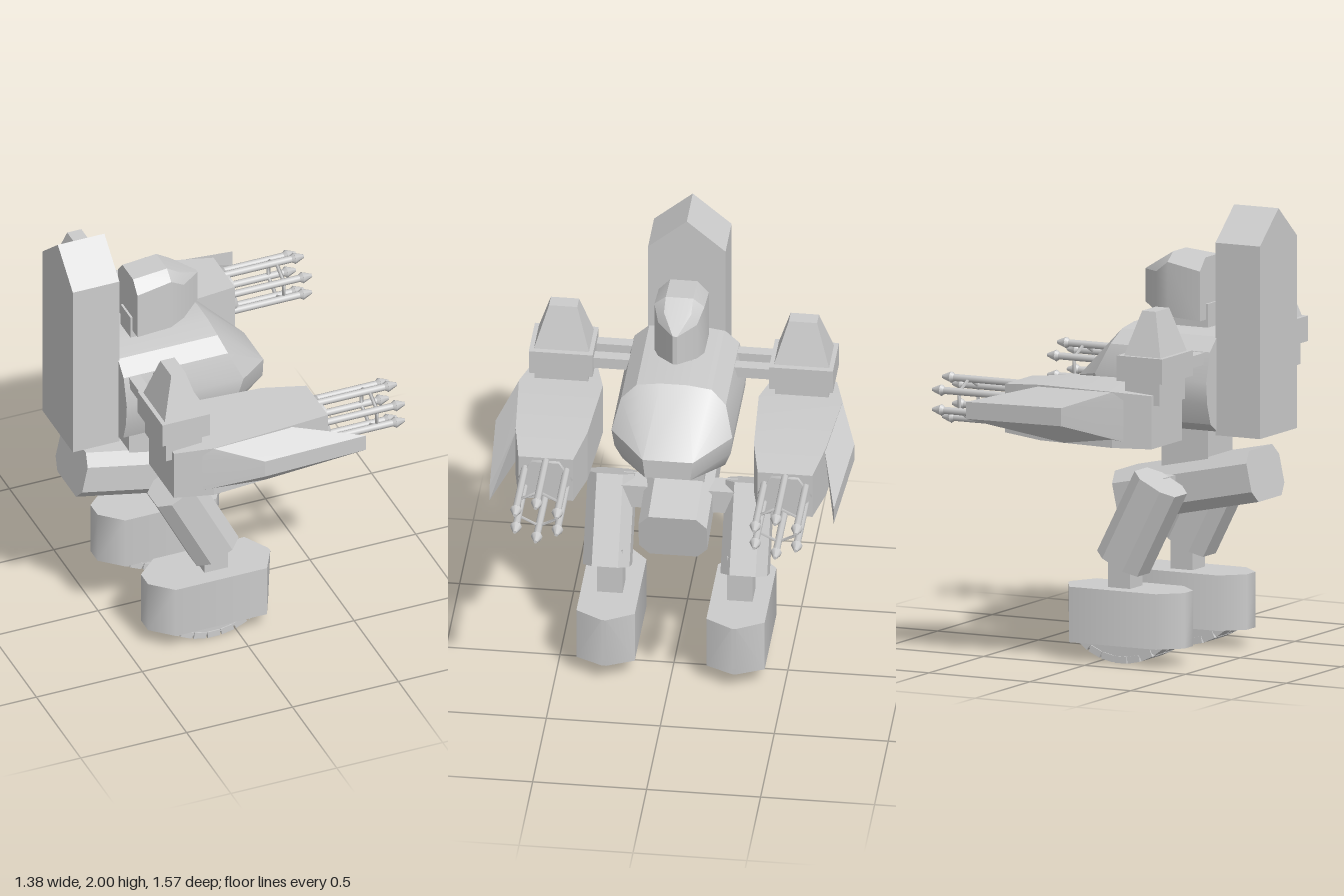
import * as THREE from 'three';
import { ConvexGeometry } from 'three/addons/geometries/ConvexGeometry.js';
import { toCreasedNormals } from 'three/addons/utils/BufferGeometryUtils.js';

const grey = new THREE.MeshStandardMaterial({ color: 0xcccccc });

function add(parent, name, geometry, x = 0, y = 0, z = 0) {
  const mesh = new THREE.Mesh(geometry, grey);
  mesh.name = name;
  mesh.position.set(x, y, z);
  parent.add(mesh);
  return mesh;
}

// box given by its ranges on each axis
function box(parent, name, [x0, x1], [y0, y1], [z0, z1]) {
  return add(parent, name, new THREE.BoxGeometry(x1 - x0, y1 - y0, z1 - z0),
    (x0 + x1) / 2, (y0 + y1) / 2, (z0 + z1) / 2);
}

// convex solid through a few corner points
function hull(points, crease = 0.3) {
  return toCreasedNormals(new ConvexGeometry(points.map(p => new THREE.Vector3(...p))), crease);
}

const bothSides = pts => pts.flatMap(([x, y, z]) => [[x, y, z], [x, y, -z]]);

// octagonal bar along x: length, height, depth, chamfer
function bar(l, h, d, ch, cd) {
  const pts = [];
  for (const x of [-l / 2, l / 2]) for (const a of [-1, 1]) for (const b of [-1, 1])
    pts.push([x, a * h / 2, b * (d / 2 - cd)], [x, a * (h / 2 - ch), b * d / 2]);
  return hull(pts);
}

// cylinder lying along x, narrow end (r1) forward
function rod(r0, r1, length, sides) {
  return new THREE.CylinderGeometry(r1, r0, length, sides).rotateZ(-Math.PI / 2);
}

function buildBody(g) {
  // barrel-shaped torso with a tapering nose
  const section = [[1.455, 0.06], [1.44, 0.165], [1.38, 0.23], [1.25, 0.265],
    [1.15, 0.255], [1.06, 0.225], [1.02, 0.16], [1.005, 0.06]];
  const torso = section.flatMap(([y, z]) => [
    [-0.475, y, z],
    [0.085 - 0.09 * Math.min(1, Math.abs(y - 1.23) / 0.2), y, z],
  ]);
  torso.push([0.235, 1.21, 0.11], [0.235, 1.12, 0.1]);
  add(g, 'torso', hull(bothSides(torso), 0.55));

  // tall pack with a pitched top
  const pack = [];
  for (const x of [-0.69, -0.47]) pack.push([x, 1.005, 0.17], [x, 1.855, 0.17], [x, 2, 0]);
  add(g, 'backpack', hull(bothSides(pack)));

  box(g, 'neck', [-0.37, -0.2], [1.43, 1.56], [-0.055, 0.055]);
  add(g, 'head', hull(bothSides([
    [-0.36, 1.765, 0.06], [-0.36, 1.71, 0.11], [-0.36, 1.49, 0.11],
    [-0.2, 1.78, 0.06], [-0.2, 1.74, 0.11], [-0.2, 1.5, 0.11],
    [-0.135, 1.74, 0.06], [-0.13, 1.69, 0.085], [-0.13, 1.515, 0.085],
    [-0.035, 1.685, 0.01], [-0.035, 1.54, 0.01],
  ]), 0.4));

  box(g, 'waist', [-0.4, -0.17], [0.75, 1.02], [-0.112, 0.112]);
  add(g, 'pelvis', bar(0.68, 0.227, 0.3, 0.05, 0.045), -0.292, 0.756, 0).rotation.z = -0.207;
}

function buildArm(g, s) {
  const side = pts => pts.map(([x, y, z]) => [x, y, z * s]);
  const span = (a, b) => s > 0 ? [a, b] : [-b, -a];

  // forearm housing
  const housing = [];
  for (const [x, y0, y1, z0, z1] of [[-0.42, 1.01, 1.245, 0.385, 0.665],
    [-0.25, 1.01, 1.257, 0.342, 0.71], [0.12, 1.01, 1.255, 0.365, 0.68], [0.315, 1.025, 1.24, 0.405, 0.645]])
    for (const y of [y0, y1]) housing.push([x, y, z0], [x, y, z1]);
  add(g, 'forearm', hull(side(housing), 0.1));

  // outer blade
  add(g, 'armBlade', hull(side([
    [-0.42, 1.24, 0.655], [-0.42, 1.01, 0.655], [-0.25, 1.255, 0.71], [0.12, 1.25, 0.675],
    [0.0, 1.01, 0.69], [-0.04, 1.18, 0.787], [-0.04, 1.1, 0.787],
    [0.45, 1.165, 0.755], [0.45, 1.09, 0.755],
  ]), 0.1));

  // rotary gun: six barrels held by hexagonal plates
  const gun = new THREE.Group();
  gun.name = 'gun';
  gun.position.set(0, 1.137, 0.525 * s);
  g.add(gun);
  for (let i = 0; i < 6; i++) {
    const a = Math.PI / 2 + i * Math.PI / 3;
    const y = Math.sin(a) * 0.088, z = Math.cos(a) * 0.105;
    add(gun, 'barrel', rod(0.016, 0.016, 0.36, 8), 0.47, y, z);
    add(gun, 'muzzle', rod(0.026, 0.008, 0.045, 8), 0.667, y, z);
    add(gun, 'muzzleCollar', rod(0.016, 0.026, 0.015, 8), 0.638, y, z);
  }
  const ring = new THREE.TorusGeometry(0.1, 0.009, 4, 6).rotateZ(Math.PI / 6).rotateY(Math.PI / 2);
  add(gun, 'barrelRing', ring, 0.56).scale.y = 0.88;
  const plate = rod(0.118, 0.118, 0.03, 6);
  add(gun, 'barrelPlate', plate, 0.318).scale.y = 0.88;

  // shoulder block, its mount, the capped tower and the struts
  box(g, 'shoulderBlock', [-0.475, -0.25], [1.3, 1.412], span(0.387, 0.667));
  box(g, 'shoulderMount', [-0.45, -0.28], [1.2, 1.31], span(0.41, 0.645));
  const tower = [];
  for (const [y, x0, x1, z0, z1] of [[1.41, -0.456, -0.275, 0.405, 0.648], [1.605, -0.4, -0.333, 0.464, 0.588]])
    for (const x of [x0, x1]) tower.push([x, y, z0], [x, y, z1]);
  add(g, 'shoulderTower', hull(side(tower)));
  for (const x of [-0.45, -0.338])
    box(g, 'shoulderStrut', [x, x + 0.053], [1.325, 1.377], span(0.15, 0.42));
}

function buildLeg(g, s) {
  const zc = 0.285 * s;
  box(g, 'hipAxle', [-0.26, -0.15], [0.7, 0.81], s > 0 ? [0.1, 0.25] : [-0.25, -0.1]);
  add(g, 'thigh', bar(0.41, 0.222, 0.205, 0.055, 0.045), -0.178, 0.618, 0.302 * s).rotation.z = -1.1;
  box(g, 'shin', [-0.14, -0.03], [0.28, 0.55], [zc - 0.056, zc + 0.056]);

  // foot block, pointed fore and aft
  const foot = [];
  for (const [y, tip] of [[0.08, 0.18], [0.325, 0.19]])
    foot.push([-0.4, y, 0.04], [-0.305, y, 0.128], [0.125, y, 0.128], [tip, y, 0.01]);
  add(g, 'foot', hull(bothSides(foot), 0.9), 0, 0, zc);

  // curved sole with two rows of tread pads
  const R = 0.302, cx = -0.11, cy = 0.315, half = 0.72;
  const arc = new THREE.Shape().absarc(0, 0, R, -Math.PI / 2 - half, -Math.PI / 2 + half, false);
  const sole = new THREE.ExtrudeGeometry(arc, { depth: 0.17, bevelEnabled: false, curveSegments: 8 });
  add(g, 'sole', sole.translate(0, 0, -0.085), cx, cy, zc);
  for (let i = 0; i < 7; i++) for (const row of [-1, 1]) {
    const a = (i - 3) * 0.215;
    const pad = add(g, 'treadPad', new THREE.BoxGeometry(0.058, 0.03, 0.085),
      cx + Math.sin(a) * 0.3, cy - Math.cos(a) * 0.3, zc + row * 0.048);
    pad.rotation.z = a;
  }
}

export function createModel() {
  const model = new THREE.Group();
  model.name = 'walkerRobot';
  const body = new THREE.Group();
  body.name = 'body';
  model.add(body);
  buildBody(body);
  for (const s of [1, -1]) {
    const arm = new THREE.Group(), leg = new THREE.Group();
    arm.name = s > 0 ? 'armNear' : 'armFar';
    leg.name = s > 0 ? 'legNear' : 'legFar';
    model.add(arm, leg);
    buildArm(arm, s);
    buildLeg(leg, s);
  }
  return model;
}
